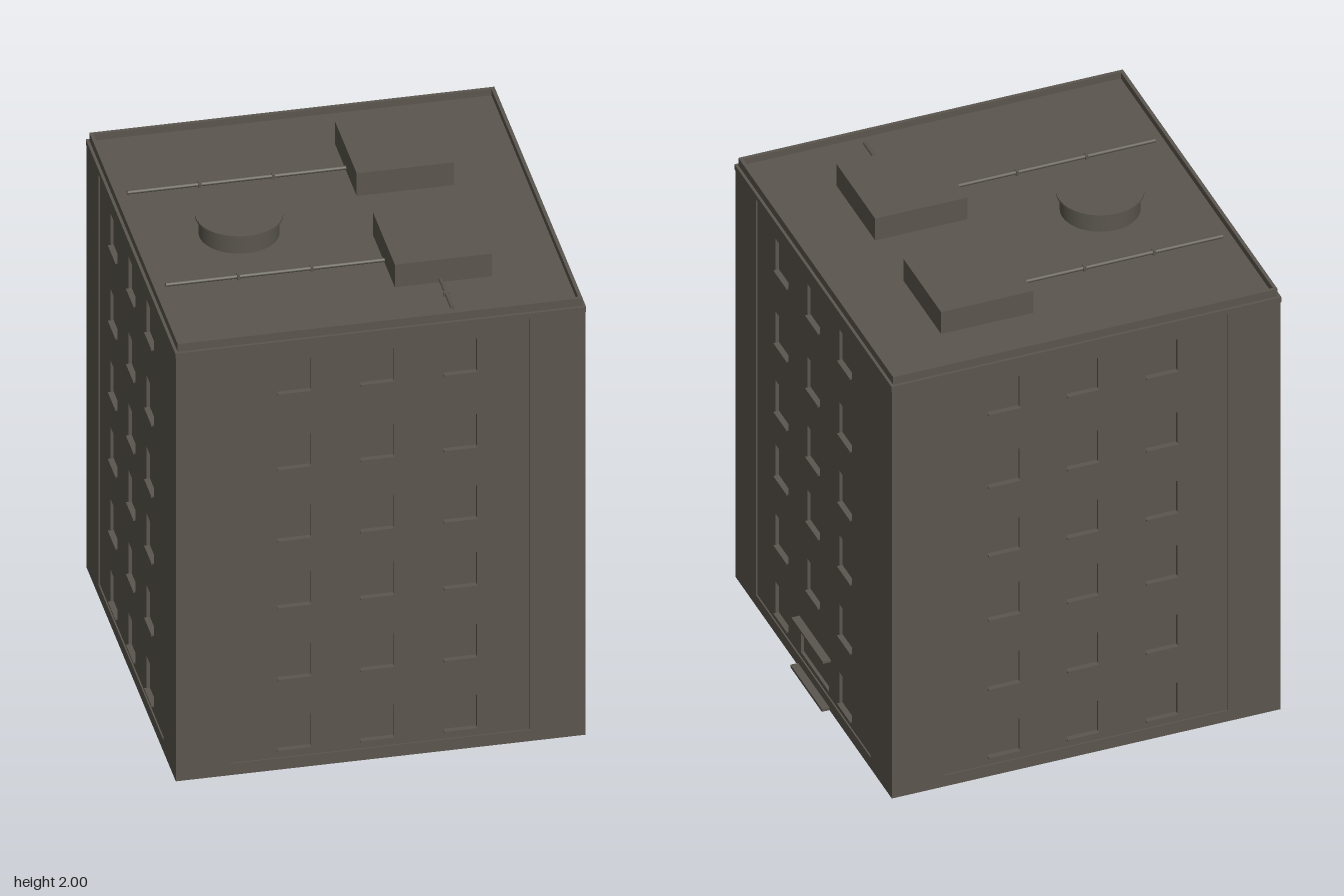
import * as THREE from 'three';

export function createModel() {
  const model = new THREE.Group();
  model.name = 'apartmentBlock';
  const concrete = new THREE.MeshStandardMaterial({ color: 0x5b564e });
  concrete.name = 'concrete';

  const H = 0.791;          // half width of the tower
  const STEP = 0.006;       // depth of the shallow wall recess
  const WALL = 0.02;        // wall thickness
  const TOP = 1.89;

  const add = (parent, name, geometry, x = 0, y = 0, z = 0) => {
    const mesh = new THREE.Mesh(geometry, concrete);
    mesh.name = name;
    mesh.position.set(x, y, z);
    parent.add(mesh);
    return mesh;
  };
  const box = (parent, name, x0, x1, y0, y1, z0, z1) => add(parent, name,
    new THREE.BoxGeometry(x1 - x0, y1 - y0, z1 - z0), (x0 + x1) / 2, (y0 + y1) / 2, (z0 + z1) / 2);
  const rect = (x0, x1, y0, y1, Type = THREE.Shape) => new Type([
    new THREE.Vector2(x0, y0), new THREE.Vector2(x1, y0),
    new THREE.Vector2(x1, y1), new THREE.Vector2(x0, y1)]);
  const slab = (outline, holes, depth) => {
    outline.holes = holes.map(h => rect(...h, THREE.Path));
    return new THREE.ExtrudeGeometry(outline, { depth, bevelEnabled: false });
  };

  // Tower, open underneath
  const tower = new THREE.Group();
  tower.name = 'tower';
  tower.position.x = -0.016;
  model.add(tower);

  const columns = [-0.333, -0.013, 0.309];
  const sills = [0.082, 0.395, 0.713, 1.008, 1.324, 1.658];
  const door = [-0.143, 0.143, 0.07, 0.222];

  // One wall, drawn facing +z: raised border, recessed panel, openings
  function makeWall(name, hasDoor) {
    const wall = new THREE.Group();
    wall.name = name;
    const windows = [];
    sills.forEach((y, row) => columns.forEach((x, col) => {
      if (!(hasDoor && row === 0 && col === 1)) windows.push([x - 0.064, x + 0.064, y, y + 0.146]);
    }));
    const openings = hasDoor ? [...windows, door] : windows;
    const right = H - WALL;   // the next wall closes this corner
    add(wall, 'wallBorder', slab(rect(-H, right, 0, TOP), [[-0.58, 0.575, 0.05, 1.87]], STEP), 0, 0, H - STEP);
    add(wall, 'wallPanel', slab(rect(-H, right, 0, TOP), openings, WALL - STEP), 0, 0, H - WALL);
    for (const [x0, x1, y0, y1] of windows) {
      box(wall, 'windowPane', x0 - 0.005, x1 + 0.005, y0 - 0.005, y1 + 0.005, H - 0.03, H - 0.019);
      box(wall, 'windowSill', x0, x1, y0 - 0.003, y0 + 0.004, H - 0.02, H + 0.004);
    }
    if (hasDoor) {
      const [x0, x1, y0, y1] = door;
      box(wall, 'door', x0 - 0.005, x1 + 0.005, y0 - 0.005, y1 + 0.005, H - 0.03, H - 0.019);
      box(wall, 'doorCanopy', -0.157, 0.161, 0.219, 0.228, H - 0.012, 0.818);
      box(wall, 'doorStep', -0.157, 0.161, 0, 0.012, H - 0.012, 0.822);
    }
    return wall;
  }
  ['frontWall', 'leftWall', 'backWall', 'rightWall'].forEach((name, i) => {
    const wall = makeWall(name, i === 1);
    wall.rotation.y = i * Math.PI / 2;
    tower.add(wall);
  });

  // Square rings round the roof edge
  const ring = (name, outer, inner, y0, y1) => {
    const geometry = slab(rect(-outer, outer, -outer, outer), [[-inner, inner, -inner, inner]], y1 - y0);
    add(tower, name, geometry.rotateX(-Math.PI / 2), 0, y0, 0);
  };
  ring('cornice', 0.7935, 0.76, 1.872, 1.894);
  ring('parapet', 0.782, 0.768, 1.89, 1.928);
  box(tower, 'roof', -0.775, 0.775, 1.885, 1.9, -0.775, 0.775);

  // Roof equipment
  const equipment = new THREE.Group();
  equipment.name = 'roofEquipment';
  model.add(equipment);
  box(equipment, 'backRoofUnit', 0.1, 0.476, 1.895, 2, -0.546, -0.165);
  box(equipment, 'frontRoofUnit', 0.1, 0.476, 1.895, 2, 0.12, 0.51);
  add(equipment, 'waterTank', new THREE.CylinderGeometry(0.153, 0.153, 0.085, 48), -0.39, 1.9375, -0.002);
  add(equipment, 'waterTankLid', new THREE.CylinderGeometry(0.167, 0.167, 0.008, 48), -0.39, 1.981, -0.002);

  // Pipe lying along x from its own origin, with clamps
  function makePipe(name, length, clamps, x, z, turn) {
    const pipe = new THREE.Group();
    pipe.name = name;
    const tube = new THREE.CylinderGeometry(0.008, 0.008, length, 12).rotateZ(Math.PI / 2);
    add(pipe, 'tube', tube, length / 2, 0, 0);
    for (const c of clamps) box(pipe, 'clamp', c - 0.005, c + 0.005, -0.014, 0.01, -0.011, 0.011);
    pipe.position.set(x, 1.911, z);
    pipe.rotation.y = turn;
    equipment.add(pipe);
  }
  for (const z of [-0.357, 0.325]) makePipe('longPipe', 0.85, [0.28, 0.563], -0.745, z, 0);
  makePipe('shortPipe', 0.22, [0.115], 0.277, 0.5, -Math.PI / 2);

  return model;
}
